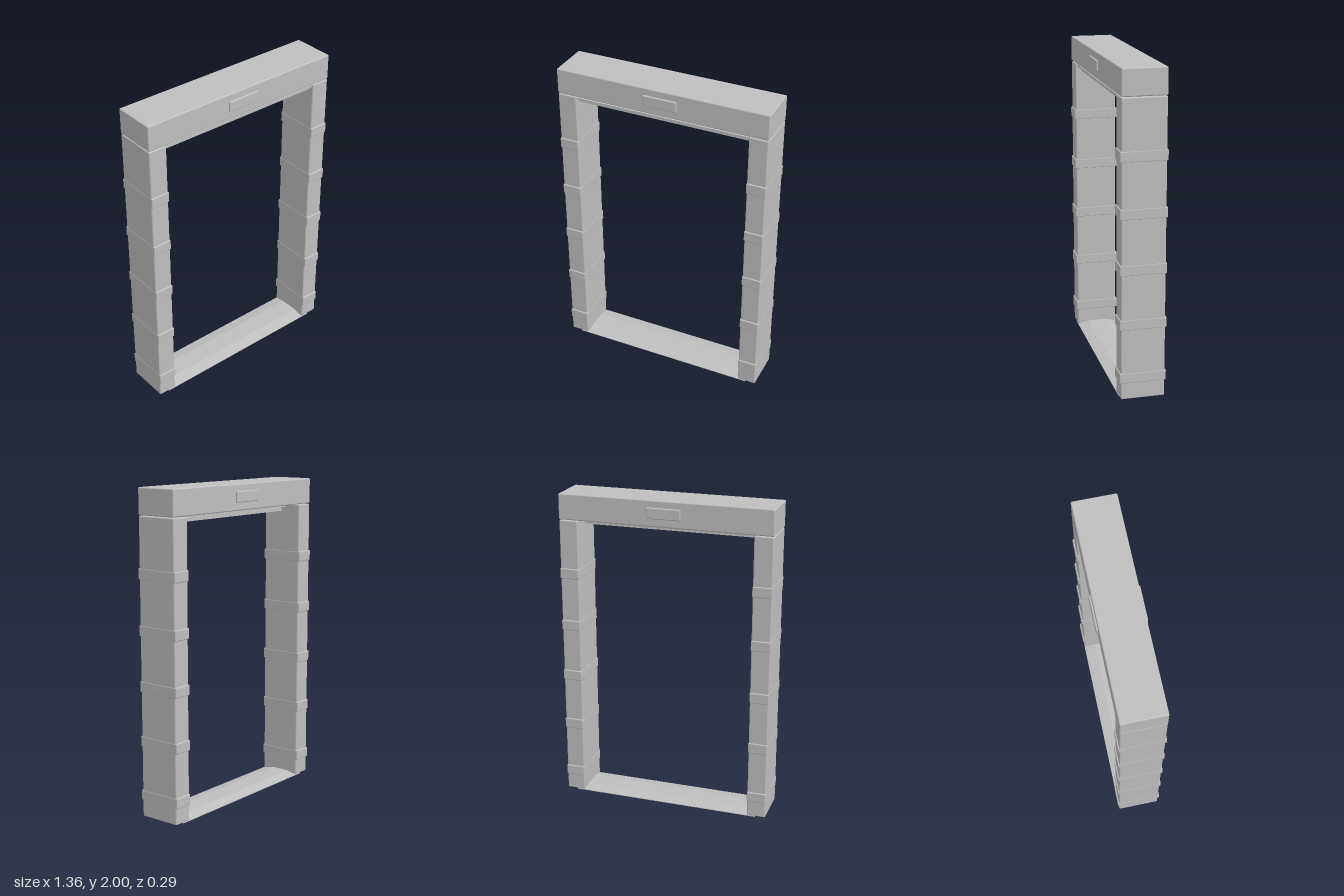
import * as THREE from 'three';
import { RoundedBoxGeometry } from 'three/addons/geometries/RoundedBoxGeometry.js';

export function createModel() {
  const model = new THREE.Group();
  model.name = 'doorFrame';
  const grey = new THREE.MeshStandardMaterial({ color: 0xbfbfbf });
  grey.name = 'light grey';

  function add(name, geometry, x, y, z, parent = model) {
    const mesh = new THREE.Mesh(geometry, grey);
    mesh.name = name;
    mesh.position.set(x, y, z);
    parent.add(mesh);
    return mesh;
  }
  const rounded = (w, h, d, r) => new RoundedBoxGeometry(w, h, d, 3, r);

  // Header beam with a small raised plate on both faces
  add('headerBeam', rounded(1.356, 0.162, 0.272, 0.008), 0, 1.919, 0);
  for (const side of [1, -1]) {
    add(side > 0 ? 'frontPlate' : 'backPlate', rounded(0.216, 0.068, 0.016, 0.006), 0, 1.922, side * 0.139);
  }

  // Posts with five raised bands each
  const postGeometry = rounded(0.12, 1.83, 0.27, 0.008);
  const bandGeometry = rounded(0.123, 0.066, 0.286, 0.006);
  for (const side of [1, -1]) {
    const post = new THREE.Group();
    post.name = side > 0 ? 'leftPost' : 'rightPost';
    post.position.x = side * 0.6165;
    model.add(post);
    add('postColumn', postGeometry, 0, 0.92, 0, post);
    for (let i = 0; i < 5; i++) add('postBand', bandGeometry, 0, 0.14 + i * 0.339, 0, post);
  }

  // Stepped rail just under the beam
  add('railFlange', new THREE.BoxGeometry(1.116, 0.012, 0.15), 0, 1.822, 0.05);
  add('railStem', new THREE.BoxGeometry(1.116, 0.03, 0.09), 0, 1.803, 0.05);

  // Low threshold, ramped on both sides
  const profile = new THREE.Shape([
    new THREE.Vector2(-0.134, 0), new THREE.Vector2(0.134, 0), new THREE.Vector2(0.134, 0.004),
    new THREE.Vector2(0.06, 0.02), new THREE.Vector2(-0.06, 0.02), new THREE.Vector2(-0.134, 0.004),
  ]);
  const threshold = new THREE.ExtrudeGeometry(profile, { depth: 1.22, bevelEnabled: false });
  threshold.translate(0, 0, -0.61).rotateY(Math.PI / 2);
  add('threshold', threshold, 0, 0, 0);

  return model;
}
